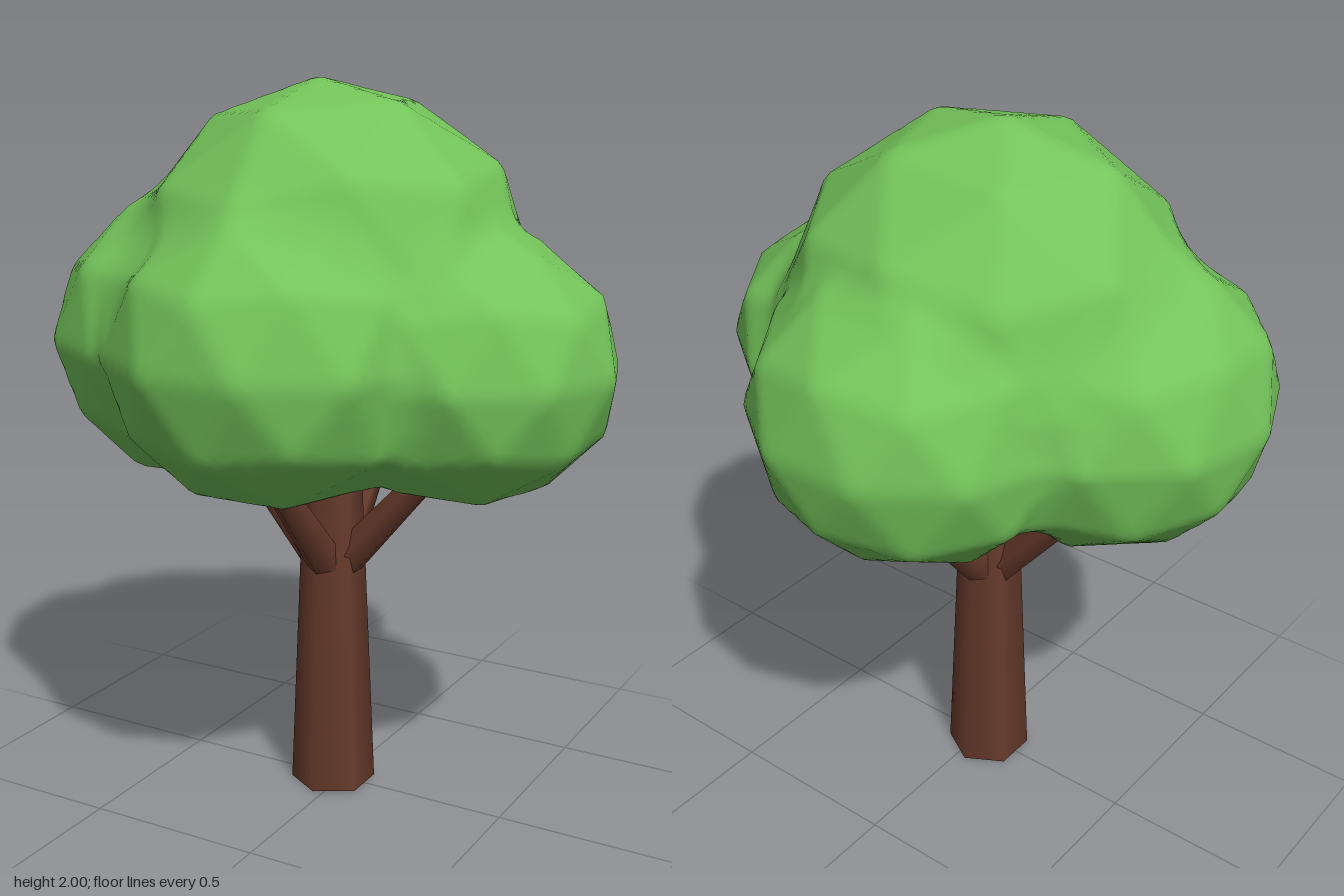
import * as THREE from 'three';
import { mergeVertices } from 'three/addons/utils/BufferGeometryUtils.js';

const leafGreen = new THREE.MeshStandardMaterial({ color: 0x74c45a });
leafGreen.name = 'leafGreen';
const barkBrown = new THREE.MeshStandardMaterial({ color: 0x663a2b });
barkBrown.name = 'barkBrown';

const CX = -0.03; // trunk axis
const CORE = new THREE.Vector3(0, 1.3, 0); // point inside every leaf ball
const BLEND = 0.07; // softness of the seams between balls

// Faceted ball with a vertex at its top, as the list of its face planes
function leafBall(center, radii, turn = 0, tilt = 0) {
  const geo = new THREE.IcosahedronGeometry(1, 1);
  geo.rotateZ(Math.atan(2 / (1 + Math.sqrt(5))));
  geo.rotateY(Math.PI / 2 + turn);
  geo.rotateZ(tilt);
  geo.scale(...radii);
  geo.translate(...center);
  const pos = geo.getAttribute('position');
  const planes = [];
  for (let i = 0; i < pos.count; i += 3) {
    const [a, b, c] = [0, 1, 2].map((k) => new THREE.Vector3().fromBufferAttribute(pos, i + k));
    planes.push(new THREE.Plane().setFromCoplanarPoints(a, b, c));
  }
  return planes;
}

// Signed distance to the softly joined balls
function crownDistance(balls, p) {
  let joined = Infinity;
  for (const planes of balls) {
    let d = -Infinity;
    for (const plane of planes) d = Math.max(d, plane.distanceToPoint(p));
    const h = Math.max(BLEND - Math.abs(joined - d), 0) / BLEND;
    joined = Math.min(joined, d) - h * h * BLEND * 0.25;
  }
  return joined;
}

// One skin: push each point of a fine sphere out to the surface of the joined balls
function crownGeometry(balls) {
  const sphere = new THREE.IcosahedronGeometry(1, 27);
  sphere.deleteAttribute('normal');
  sphere.deleteAttribute('uv');
  const geo = mergeVertices(sphere, 1e-4);
  const pos = geo.getAttribute('position');
  const dir = new THREE.Vector3(), p = new THREE.Vector3();
  for (let i = 0; i < pos.count; i++) {
    dir.fromBufferAttribute(pos, i).normalize();
    let near = 0, far = 1.2;
    for (let step = 0; step < 16; step++) {
      const mid = (near + far) / 2;
      p.copy(CORE).addScaledVector(dir, mid);
      if (crownDistance(balls, p) < 0) near = mid;
      else far = mid;
    }
    p.copy(CORE).addScaledVector(dir, near);
    pos.setXYZ(i, p.x, p.y, p.z);
  }
  geo.computeVertexNormals();
  return geo;
}

// Tapered six-sided limb between two points
function limb(name, from, to, r0, r1) {
  const a = new THREE.Vector3(...from), b = new THREE.Vector3(...to);
  const dir = b.clone().sub(a);
  const mesh = new THREE.Mesh(new THREE.CylinderGeometry(r1, r0, dir.length(), 6), barkBrown);
  mesh.name = name;
  mesh.position.copy(a).add(b).multiplyScalar(0.5);
  mesh.quaternion.setFromUnitVectors(new THREE.Vector3(0, 1, 0), dir.normalize());
  return mesh;
}

export function createModel() {
  const tree = new THREE.Group();
  tree.name = 'tree';

  // Trunk and four branches
  tree.add(limb('trunk', [CX, 0, 0], [CX, 1.05, 0], 0.12, 0.076));
  const sides = { leftBranch: [1, 0], rightBranch: [-1, 0], frontBranch: [0, 1], backBranch: [0, -1] };
  for (const [name, [x, z]] of Object.entries(sides)) {
    tree.add(limb(name, [CX + x * 0.01, 0.64, z * 0.01], [CX + x * 0.36, 1.03, z * 0.36], 0.056, 0.034));
  }

  // Crown: top, front, back, left and right balls
  const balls = [
    leafBall([CX, 1.46, 0], [0.56, 0.54, 0.53], 0, 0.08),
    leafBall([CX, 1.31, 0.3], [0.45, 0.405, 0.43]),
    leafBall([CX, 1.31, -0.3], [0.45, 0.405, 0.435]),
    leafBall([0.38, 1.27, 0.015], [0.405, 0.37, 0.4]),
    leafBall([-0.37, 1.3, 0.085], [0.43, 0.41, 0.44], 0.1),
  ];
  const crown = new THREE.Mesh(crownGeometry(balls), leafGreen);
  crown.name = 'crown';
  tree.add(crown);
  return tree;
}
